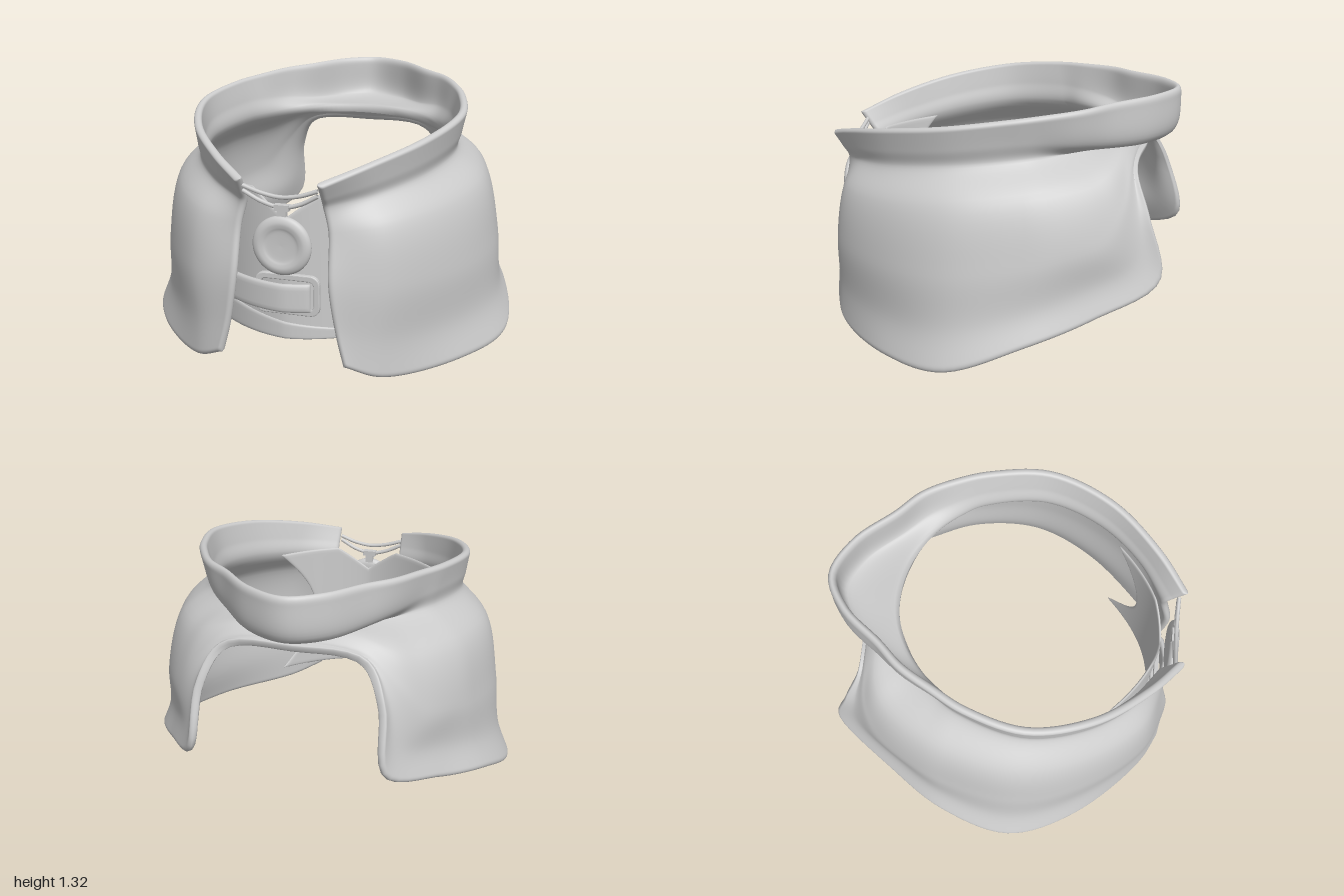
import * as THREE from 'three';
import { mergeVertices } from 'three/addons/utils/BufferGeometryUtils.js';

const material = new THREE.MeshStandardMaterial({ color: 0xcccccc, side: THREE.DoubleSide });
const V = (x, y, z) => new THREE.Vector3(x, y, z);
const { lerp: mix, smoothstep } = THREE.MathUtils;

function part(name, geometry, parent) {
  const mesh = new THREE.Mesh(geometry, material);
  mesh.name = name;
  parent.add(mesh);
  return mesh;
}

// Thick cloth: two offset sheets of the surface fn(u, v) that meet in rounded edges
function cloth(fn, nu, nv, thickness, ru, rv) {
  const ease = (i, n) => 0.5 - 0.5 * Math.cos(Math.PI * i / n);
  const round = (d, r) => Math.sqrt(Math.max(0, 1 - Math.max(0, 1 - d / r) ** 2));
  const positions = [], index = [], e = 0.002;
  for (const side of [1, -1]) {
    const base = positions.length / 3;
    for (let i = 0; i <= nu; i++) for (let j = 0; j <= nv; j++) {
      const u = ease(i, nu), v = ease(j, nv);
      const du = fn(Math.min(1, u + e), v).sub(fn(Math.max(0, u - e), v));
      const dv = fn(u, Math.min(1, v + e)).sub(fn(u, Math.max(0, v - e)));
      const h = thickness / 2 * round(Math.min(u, 1 - u), ru) * round(Math.min(v, 1 - v), rv);
      const p = fn(u, v).addScaledVector(dv.cross(du).normalize(), side * h);
      positions.push(p.x, p.y, p.z);
      if (i < nu && j < nv) {
        const a = base + i * (nv + 1) + j, b = a + 1, c = a + nv + 1, d = c + 1;
        if (side > 0) index.push(a, b, c, b, d, c);
        else index.push(a, c, b, b, c, d);
      }
    }
  }
  let g = new THREE.BufferGeometry();
  g.setAttribute('position', new THREE.Float32BufferAttribute(positions, 3));
  g.setIndex(index);
  g = mergeVertices(g, 1e-5);
  g.computeVertexNormals();
  return g;
}

// Collar rim and neck crease in plan (x, z), from the front edge to the back centre; height follows z
const rim = [[.2, .92], [.4, .75], [.62, .48], [.73, .14], [.68, -.17], [.61, -.35], [.51, -.52], [.38, -.64],
  [.2, -.83], [0, -.92]].map(([x, z]) => {
  const t = (z + .92) / 1.84;
  return V(x, 1.32 - .2 * t ** 1.5 - .11 * t ** 6, z);
});
const neck = [[.2, .83], [.42, .67], [.6, .43], [.685, .12], [.61, -.22], [.54, -.33], [.45, -.43], [.34, -.51],
  [.19, -.57], [0, -.6]].map(([x, z]) => V(x, 1.06 - .18 * ((z + .6) / 1.43) ** 2, z));

// Middle of the mantle, and its hem, which climbs over the arch at the back
const middle = [[.24, .5, .88], [.52, .5, .77], [.79, .5, .43], [.9, .53, .08], [.84, .58, -.3], [.77, .62, -.47],
  [.65, .68, -.65], [.53, .83, -.72], [.36, .98, -.72], [0, 1.01, -.72]].map(p => V(...p));
const hem = [[.32, .085, .885], [.49, .012, .79], [.83, .01, .44], [.99, .04, .08], [.91, .18, -.31], [.72, .28, -.62],
  [.5, .43, -.92], [.465, .76, -.85], [.36, .95, -.77], [0, .98, -.77]].map(p => V(...p));

// Rows between: the collar bulges out towards the back, the shoulder is full, the skirt is drawn in
const bulge = rim.map((r, i) => {
  const back = smoothstep(i, 4, 8), n = neck[i];
  const out = mix(.42, .9, back);
  return V(mix(n.x, r.x, out), mix(n.y, r.y, mix(.45, .12, back)), mix(n.z, r.z, out));
});
const shoulder = neck.map((n, i) => {
  const m = middle[i];
  return V(mix(n.x, m.x, .68), mix(n.y, m.y, .34), mix(n.z, m.z, i === 0 ? 0 : .68));
});
const skirt = middle.map((m, i) => m.clone().lerp(hem[i], .6).multiply(V(.968, 1, i < 2 ? 1 : .98)));

// Each row runs round both sides; the model's right is a little narrower at the collar
function mantleSurface() {
  const rows = [[rim, .95, .08], [bulge, .96, .07], [neck, .97, .05], [shoulder, .98, 0], [middle, .98, 0],
    [skirt, .99, 0], [hem, 1, 0]].map(([half, width, pinch]) => new THREE.CatmullRomCurve3([
    ...half,
    ...half.slice(0, -1).reverse().map(p => V(-p.x * (width - pinch * smoothstep(-p.z, 0, .5)), p.y, p.z)),
  ]));
  const profiles = new Map();
  return (u, v) => {
    if (!profiles.has(u)) profiles.set(u, new THREE.CatmullRomCurve3(rows.map(r => r.getPoint(u))));
    return profiles.get(u).getPoint(v);
  };
}

// Band lying on the curved chest between two heights given along x, its ends hollowed by an arc
const chestZ = x => .81 - .1 * Math.abs(x) - .95 * x * x;
const chestBand = (x0, x1, top, bottom, out, hollow = 0) => (u, v) => {
  const x = mix(x1, x0, u) * (1 - hollow * Math.sin(Math.PI * v));
  return V(x, mix(top(x), bottom(x), v), chestZ(x) + out);
};

function roundedRect(target, w, h, r) {
  const x = w / 2, y = h / 2;
  target.moveTo(-x + r, -y);
  target.lineTo(x - r, -y).quadraticCurveTo(x, -y, x, -y + r);
  target.lineTo(x, y - r).quadraticCurveTo(x, y, x - r, y);
  target.lineTo(-x + r, y).quadraticCurveTo(-x, y, -x, y - r);
  target.lineTo(-x, -y + r).quadraticCurveTo(-x, -y, -x + r, -y);
  return target;
}

export function createModel() {
  const model = new THREE.Group();
  model.name = 'collaredMantle';

  part('mantle', cloth(mantleSurface(), 160, 72, .042, .005, .025), model);

  // Chest panel with V neckline, and the fold along its lower edge
  part('chestPanel', cloth(chestBand(-.48, .48, x => .8 + .75 * Math.min(Math.abs(x), .18),
    () => .175, 0, .36), 48, 24, .014, .02, .02), model);
  part('lowerFold', cloth(chestBand(-.36, .36, x => .26 - .14 * x, () => .17, .012), 32, 8, .014, .02, .08), model);

  // Belt strap lying over the buckle frame
  part('strap', cloth(chestBand(-.3, .14, () => .485, () => .335, .07), 24, 10, .03, .05, .12), model);
  const frame = roundedRect(new THREE.Shape(), .325, .2, .05);
  frame.holes.push(roundedRect(new THREE.Path(), .285, .16, .035));
  const buckle = part('buckle', new THREE.ExtrudeGeometry(frame, {
    depth: .015, bevelEnabled: true, bevelSize: .006, bevelThickness: .006, bevelSegments: 3, curveSegments: 8,
  }), model);
  buckle.position.set(.015, .415, .82);

  // Round pendant with a shallow dished face
  const pendant = new THREE.Group();
  pendant.name = 'pendant';
  pendant.position.set(.01, .685, .86);
  model.add(pendant);
  const profile = new THREE.SplineCurve([[0, 0], [.11, 0], [.143, .013], [.15, .03], [.14, .045], [.118, .053],
    [.095, .05], [.07, .043], [0, .04]].map(p => new THREE.Vector2(...p))).getPoints(32);
  part('disc', new THREE.LatheGeometry(profile, 48), pendant).rotation.x = Math.PI / 2;
  part('hanger', new THREE.BoxGeometry(.045, .07, .03), pendant).position.set(0, .165, .02);
  part('hangerBar', new THREE.BoxGeometry(.075, .03, .034), pendant).position.set(0, .19, .02);

  // Cords from the collar corners to the pendant
  for (const [name, end, low] of [['upperCord', .97, .925], ['lowerCord', .945, .875]]) {
    const path = new THREE.CatmullRomCurve3([-.19, -.09, .005, .1, .19].map((x, i) =>
      V(x, mix(low, end, [1, .3, 0, .3, 1][i]), .88)));
    part(name, new THREE.TubeGeometry(path, 40, .011, 8), model);
  }
  return model;
}
